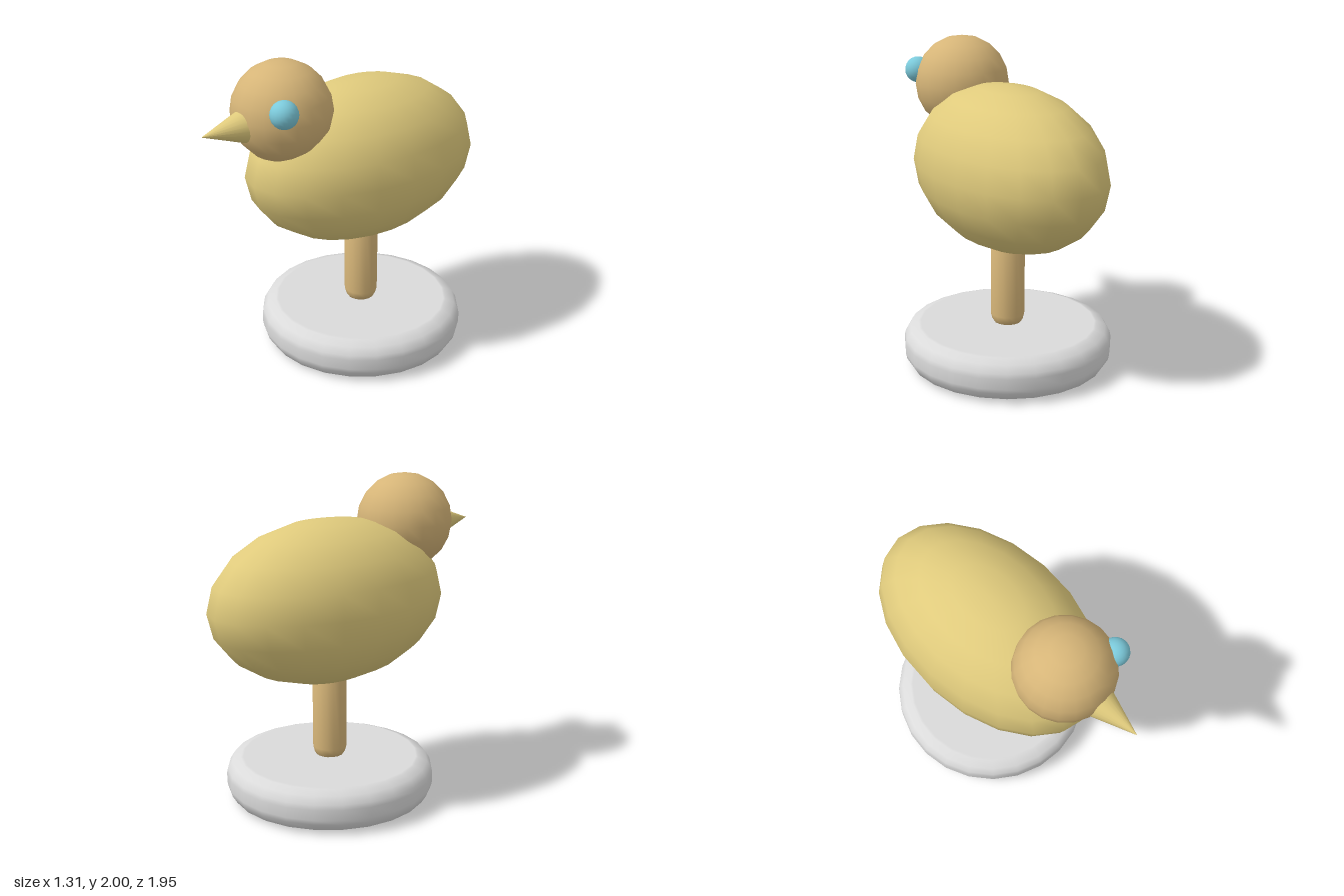
import * as THREE from 'three';

const material = (name, color) => {
  const m = new THREE.MeshStandardMaterial({ color });
  m.name = name;
  return m;
};

export function createModel() {
  const group = new THREE.Group();
  const yellow = material('strawYellow', 0xdfca7c);
  const tan = material('tan', 0xd6b578);
  const blue = material('skyBlue', 0x7ccadb);
  const grey = material('lightGrey', 0xdadada);

  const add = (name, geometry, mat, x, y, z) => {
    const mesh = new THREE.Mesh(geometry, mat);
    mesh.name = name;
    mesh.position.set(x, y, z);
    group.add(mesh);
    return mesh;
  };
  const lathe = (profile, sides) =>
    new THREE.LatheGeometry(profile.map(([r, y]) => new THREE.Vector2(r, y)), sides);

  // Round base with softened rims
  add('base', lathe([
    [0, 0], [0.55, 0], [0.565, 0.004], [0.62, 0.025], [0.648, 0.07], [0.655, 0.1],
    [0.655, 0.165], [0.648, 0.195], [0.62, 0.24], [0.565, 0.261], [0.55, 0.265], [0, 0.265],
  ], 24), grey, 0, 0, -0.163);

  // Post, rounded where it meets the base
  add('post', lathe([
    [0, 0.25], [0.08, 0.255], [0.098, 0.285], [0.107, 0.32], [0.107, 0.82], [0, 0.82],
  ], 16), tan, 0, 0, -0.163);

  // Egg-shaped body
  const body = new THREE.SphereGeometry(1, 20, 10);
  body.scale(0.508, 0.505, 0.81);
  add('body', body, yellow, 0, 1.267, -0.163);

  // Head
  add('head', new THREE.SphereGeometry(0.302, 20, 10), tan, 0, 1.698, 0.435);

  // Beak pointing forward
  const beak = new THREE.ConeGeometry(0.095, 0.265, 20);
  beak.rotateX(Math.PI / 2);
  add('beak', beak, yellow, 0, 1.663, 0.8425);

  // Single eye on the left side
  add('leftEye', new THREE.SphereGeometry(0.083, 20, 12), blue, 0.242, 1.777, 0.585);

  return group;
}
